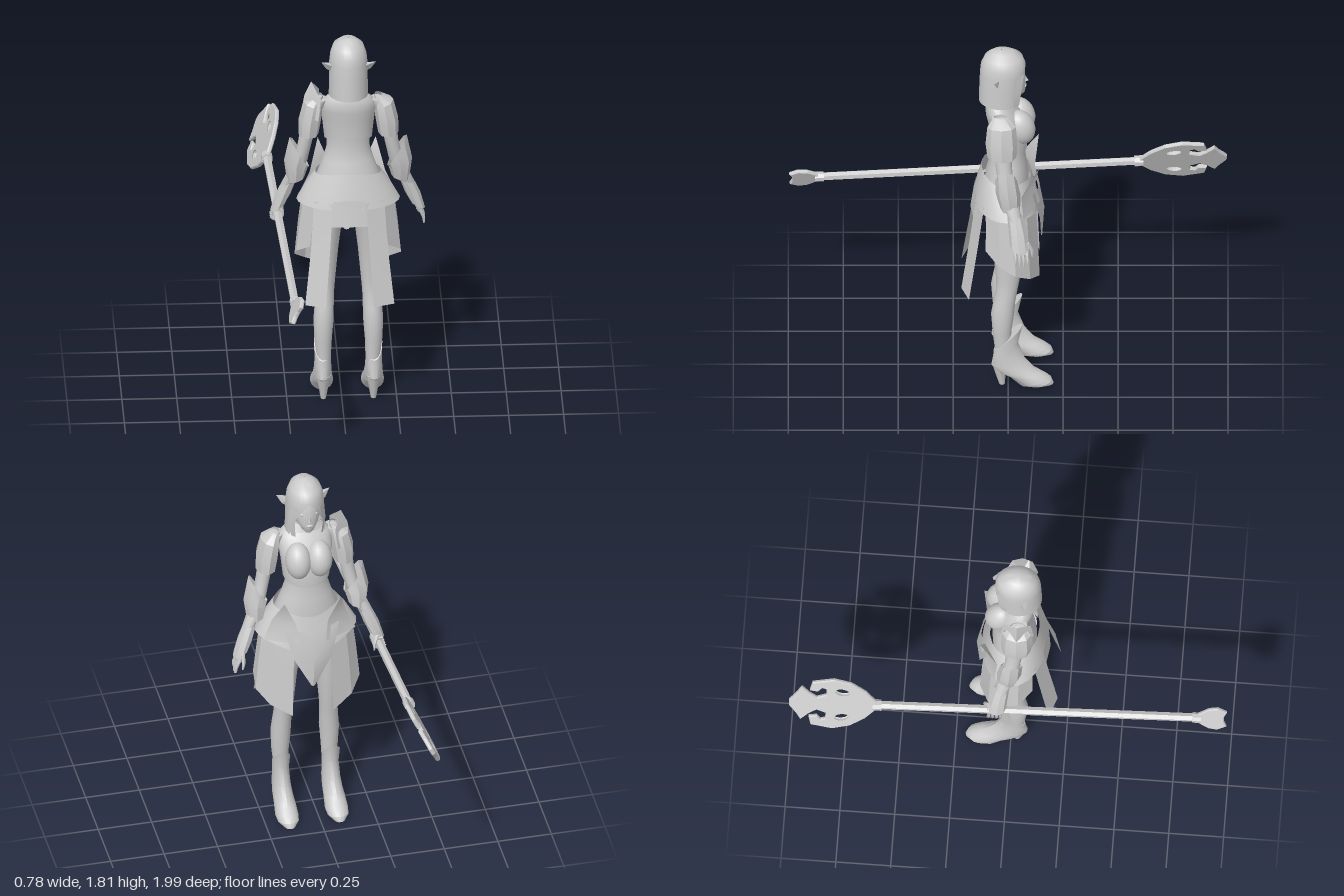
import * as THREE from 'three';
import { toCreasedNormals } from 'three/addons/utils/BufferGeometryUtils.js';
import { ConvexGeometry } from 'three/addons/geometries/ConvexGeometry.js';

const grey = new THREE.MeshStandardMaterial({ color: 0xcccccc, side: THREE.DoubleSide });
grey.name = 'light grey';

function add(parent, name, geometry) {
  const m = new THREE.Mesh(geometry, grey);
  m.name = name;
  parent.add(m);
  return m;
}

// Surface through rows of [x, y, z] points
function sheet(parent, name, rows, crease = 0.7) {
  const n = rows[0].length, idx = [];
  for (let i = 0; i < rows.length - 1; i++)
    for (let j = 0; j < n - 1; j++) {
      const a = i * n + j, b = a + n;
      idx.push(a, b, b + 1, a, b + 1, a + 1);
    }
  const g = new THREE.BufferGeometry();
  g.setAttribute('position', new THREE.Float32BufferAttribute(rows.flat(2), 3));
  g.setIndex(idx);
  return add(parent, name, toCreasedNormals(g, crease));
}

// Elliptical rings from top to bottom: [x, y, z, rx, rz, rise toward +z, rise toward +x]
function loft(parent, name, rows, { n = 16, closed = true, crease = 0.9 } = {}) {
  const rings = closed
    ? [[...rows[0].slice(0, 3), 0, 0], ...rows, [...rows.at(-1).slice(0, 3), 0, 0]] : rows;
  return sheet(parent, name, rings.map(([x, y, z, rx, rz, ty = 0, tx = 0]) =>
    Array.from({ length: n + 1 }, (_, j) => {
      const t = (j / n) * Math.PI * 2, s = Math.sin(t), c = Math.cos(t);
      return [x + rx * s, y + ty * c + tx * s, z + rz * c];
    })), crease);
}

function ball(parent, name, pos, size) {
  const m = add(parent, name, new THREE.SphereGeometry(1, 20, 14));
  m.position.set(...pos);
  m.scale.set(...size);
  return m;
}

// Points around the body, angle 0 at the back (+z)
function arc(from, to, n, f) {
  return Array.from({ length: n + 1 }, (_, j) => {
    const a = from + (to - from) * j / n;
    const [y, rx, rz, cz] = f(a, j / n);
    return [rx * Math.sin(a), y, cz + rz * Math.cos(a)];
  });
}

function buildHead(g) {
  loft(g, 'face', [[0, 1.77, .02, .05, .07], [0, 1.70, 0, .066, .076], [0, 1.65, -.005, .063, .074],
    [0, 1.61, -.015, .05, .065], [0, 1.58, -.035, .03, .042], [0, 1.565, -.045, .015, .02]]);
  loft(g, 'neck', [[0, 1.63, .03, .038, .04], [0, 1.56, .04, .036, .038], [0, 1.5, .04, .06, .05]]);
  add(g, 'nose', new ConvexGeometry([[0, 1.675, -.073], [.011, 1.635, -.072], [-.011, 1.635, -.072],
    [0, 1.638, -.093]].map(p => new THREE.Vector3(...p))));
  ball(g, 'lips', [0, 1.612, -.076], [.016, .007, .008]);
  // Long hair, parted at the face
  const hair = [[1.812, .003, .003, .03, 1], [1.802, .038, .05, .026, 1], [1.775, .069, .086, .021, 1],
    [1.735, .083, .102, .022, 1], [1.695, .087, .105, .023, .87], [1.62, .088, .105, .026, .73],
    [1.535, .09, .105, .028, .64]];
  sheet(g, 'hair', hair.map(([y, rx, rz, cz, A]) =>
    arc(-A * Math.PI, A * Math.PI, 24, () => [y, rx, rz, cz])), 1);
  for (const s of [-1, 1]) {
    add(g, 'ear', new ConvexGeometry([[.07, 1.645, .045], [.075, 1.69, .072], [.075, 1.69, .035],
      [.125, 1.707, .065], [.102, 1.668, .05]].map(([x, y, z]) => new THREE.Vector3(s * x, y, z))));
    ball(g, 'eye', [s * .027, 1.67, -.064], [.014, .007, .006]);
    sheet(g, 'frontLock', [[[s * .05, 1.71, -.072], [s * .078, 1.70, -.03]],
      [[s * .066, 1.62, -.06], [s * .087, 1.61, -.02]], [[s * .06, 1.54, -.05], [s * .075, 1.535, -.025]]]);
  }
}

function buildTorso(g) {
  loft(g, 'torso', [[0, 1.535, .045, .085, .045], [0, 1.51, .04, .112, .058], [0, 1.46, .02, .118, .076],
    [0, 1.40, 0, .112, .085], [0, 1.33, 0, .1, .078], [0, 1.26, -.002, .098, .074], [0, 1.2, 0, .115, .083],
    [0, 1.12, .005, .145, .098], [0, 1.03, .01, .16, .1], [0, .95, .01, .145, .095], [0, .88, .005, .08, .075]], { n: 24 });
  loft(g, 'bodice', [[0, 1.535, .045, .092, .05], [0, 1.51, .04, .119, .064], [0, 1.46, .02, .125, .082],
    [0, 1.40, 0, .119, .091, .01], [0, 1.30, 0, .108, .086, .03]], { n: 24, closed: false });
  loft(g, 'collar', [[0, 1.565, .04, .045, .045], [0, 1.53, .04, .09, .055]], { n: 12, closed: false });
  for (const s of [-1, 1])
    ball(g, 'bust', [s * .049, 1.41, -.056], [.06, .088, .066]).rotation.x = .3;
}

function buildSkirt(g) {
  const P = Math.PI;
  // Flared hip plate with a dip at the front
  const front = a => Math.max(0, -Math.cos(a)) ** 4;
  sheet(g, 'hipPlate', [
    arc(-P, P, 24, a => [1.135 + .03 * Math.cos(a) ** 2 - .05 * front(a), .15, .113, .008]),
    arc(-P, P, 24, a => [1.08 - .04 * front(a), .192, .132, .01]),
    arc(-P, P, 24, a => [1.0 - .06 * front(a), .236, .15, .008])], .5);
  sheet(g, 'backTab', [[[-.075, 1.04, .145], [0, 1.05, .155], [.075, 1.04, .145]],
    [[-.085, .92, .158], [0, .925, .172], [.085, .92, .158]]]);
  sheet(g, 'frontPlate', [[[-.13, 1.08, -.11], [0, 1.04, -.145], [.13, 1.08, -.11]],
    [[-.09, .92, -.145], [0, .92, -.165], [.09, .92, -.145]],
    [[-.01, .765, -.15], [0, .76, -.155], [.01, .765, -.15]]]);
  for (const s of [-1, 1]) {
    sheet(g, 'hipSpike', [[[s * .132, 1.235, -.14], [s * .132, 1.235, -.14]],
      [[s * .075, 1.1, -.122], [s * .172, 1.1, -.06]], [[s * .06, 1.0, -.145], [s * .215, 1.0, -.07]]]);
    sheet(g, 'sidePanel', [
      arc(s * .8, s * 2.75, 4, () => [1.01, .215, .14, .005]),
      arc(s * .8, s * 2.75, 4, (a, k) => [.9 - .06 * k, .232, .145, 0]),
      arc(s * .8, s * 2.75, 4, (a, k) => [.8 - .2 * k, .248, .152, -.003])], .4);
    sheet(g, 'backRibbon', [[[s * .075, 1.03, .145], [s * .16, 1.03, .11]],
      [[s * .09, .8, .175], [s * .175, .8, .14]], [[s * .11, .54, .213], [s * .203, .54, .178]]]);
  }
}

function buildLeg(g, s) {
  loft(g, 'leg', [[.085, .98, .015, .075, .09], [.092, .9, .005, .066, .086], [.1, .75, 0, .056, .07],
    [.102, .6, 0, .044, .055], [.106, .53, .006, .042, .049], [.11, .46, .018, .044, .05],
    [.113, .4, .025, .046, .053], [.115, .3, .028, .04, .043], [.112, .2, .025, .032, .036],
    [.112, .12, .02, .03, .04]].map(([x, ...r]) => [s * x, ...r]));
  // Boot rings as back point, front point and half width
  const boot = [[.065, .20, -.065, .335, .04], [.068, .165, -.045, .235, .037], [.076, .11, -.075, .15, .041],
    [.045, .075, -.12, .09, .046], [0, .055, -.145, .072, .049], [-.05, .006, -.175, .052, .053],
    [-.1, 0, -.198, .032, .048], [-.15, 0, -.207, .008, .025]];
  loft(g, 'boot', boot.map(([zb, yb, zf, yf, w]) =>
    [s * .116, (yb + yf) / 2, (zb + zf) / 2, w, (zb - zf) / 2, (yb - yf) / 2]), { crease: .6 });
  loft(g, 'heel', [[s * .114, .12, .035, .036, .04], [s * .114, .06, .035, .022, .024], [s * .114, 0, .028, .012, .013]], { n: 8 });
}

function buildArm(g, s) {
  const side = rows => rows.map(([x, y, z, rx, rz, ty = 0, tx = 0]) => [s * x, y, z, rx, rz, ty, s * tx]);
  loft(g, 'arm', side([[.125, 1.515, .04, .03, .035], [.16, 1.46, .033, .04, .045], [.178, 1.4, .028, .038, .042],
    [.195, 1.3, .02, .032, .037], [.215, 1.2, .01, .031, .035], [.24, 1.13, -.01, .033, .036],
    [.275, 1.06, -.03, .028, .03], [.305, .98, -.05, .02, .024]]));
  loft(g, 'shoulderGuard', side([[.135, 1.53, .035, .018, .03], [.16, 1.49, .03, .045, .065, 0, .01],
    [.175, 1.41, .03, .052, .073], [.182, 1.335, .028, .046, .066]]), { n: 8, closed: false, crease: .5 });
  loft(g, 'elbowGuard', side([[.222, 1.235, .01, .045, .05, 0, .075], [.238, 1.17, 0, .054, .056, 0, .02],
    [.238, 1.09, -.01, .04, .045, 0, -.01]]), { n: 8, closed: false, crease: .5 });
  loft(g, 'cuff', side([[.268, 1.07, -.03, .031, .034], [.295, 1.0, -.042, .035, .04],
    [.318, .935, -.05, .035, .043, 0, -.02]]), { n: 8, closed: false, crease: .5 });
  loft(g, 'palm', side([[.305, .99, -.05, .02, .026], [.32, .94, -.055, .019, .036], [.33, .9, -.06, .014, .035]]), { n: 10 });
}

function buildFingers(g) {
  for (let i = 0; i < 4; i++) {
    const z = -.032 - i * .018, tip = .85 - (i === 1 || i === 2 ? .015 : 0);
    loft(g, 'finger', [[.33, .91, z, .009, .009], [.345, .875, z - .002, .009, .008], [.348, tip, z - .004, .004, .004]], { n: 6 });
    // Opposite hand closes around the rod
    const curl = add(g, 'grippingFinger', new THREE.TorusGeometry(.027, .009, 6, 12, 4.6));
    curl.position.set(-.325, .905, z);
    curl.rotation.z = -2.6;
  }
  loft(g, 'thumb', [[.315, .95, -.085, .01, .012], [.315, .91, -.107, .009, .009], [.32, .875, -.11, .004, .004]], { n: 6 });
  loft(g, 'thumb', [[-.315, .95, -.085, .01, .012], [-.297, .92, -.105, .009, .009], [-.295, .88, -.105, .004, .004]], { n: 6 });
}

function buildStaff() {
  const g = new THREE.Group();
  g.name = 'staff';
  // x runs along the rod toward the ornate head, y across its blade
  const dir = new THREE.Vector3(-.085, .06, -2).normalize();
  const n = dir.clone().cross(new THREE.Vector3(.43, .9, 0)).normalize();
  new THREE.Matrix4().makeBasis(dir, n.clone().cross(dir), n).decompose(g.position, g.quaternion, g.scale);
  g.position.set(-.2875, .905, 0);

  const rod = add(g, 'rod', toCreasedNormals(new THREE.CylinderGeometry(.02, .02, 1.47, 6), .5));
  rod.rotation.z = -Math.PI / 2;
  rod.position.x = -.14;
  for (const [x, r] of [[.595, .026], [-.86, .024]]) {
    const c = add(g, 'collarRing', toCreasedNormals(new THREE.CylinderGeometry(r, r, .04, 8), .5));
    c.rotation.z = -Math.PI / 2;
    c.position.x = x;
  }
  const blade = (name, half, holes) => {
    const pts = [...half, ...half.map(([u, v]) => [u, -v]).reverse()];
    const shape = new THREE.Shape(pts.map(p => new THREE.Vector2(...p)));
    for (const [u, v, a, b, tilt] of holes)
      shape.holes.push(new THREE.Path().absellipse(u, v, a, b, 0, Math.PI * 2, true, tilt));
    const geo = new THREE.ExtrudeGeometry(shape, { depth: .01, curveSegments: 8,
      bevelThickness: .005, bevelSize: .004, bevelSegments: 1 });
    add(g, name, geo.translate(0, 0, -.005));
  };
  blade('staffHead', [[.6, .02], [.65, .08], [.715, .128], [.795, .15], [.89, .13], [.9, .085], [.868, .08],
    [.85, .103], [.825, .095], [.822, .055], [.87, .035], [.905, .06], [.94, .098], [.96, .06], [.992, .015]],
    [[.755, .078, .034, .02, .2], [.755, -.078, .034, .02, -.2]]);
  blade('staffTail', [[-.87, .025], [-.915, .055], [-.955, .062], [-.992, .042], [-.98, .014]], []);
  return g;
}

export function createModel() {
  const model = new THREE.Group();
  model.name = 'armoured staff bearer';
  const body = new THREE.Group();
  body.name = 'figure';
  body.position.x = .03;
  model.add(body, buildStaff());
  buildHead(body);
  buildTorso(body);
  buildSkirt(body);
  for (const s of [-1, 1]) {
    buildLeg(body, s);
    buildArm(body, s);
  }
  buildFingers(body);
  // Tall spiked plate on one shoulder
  sheet(body, 'shoulderSpike', [[[-.17, 1.597, .03], [-.17, 1.597, .03], [-.17, 1.597, .03]],
    [[-.13, 1.53, -.03], [-.2, 1.53, .03], [-.13, 1.53, .09]],
    [[-.14, 1.43, -.045], [-.218, 1.43, .03], [-.14, 1.43, .105]]], .4);
  return model;
}
